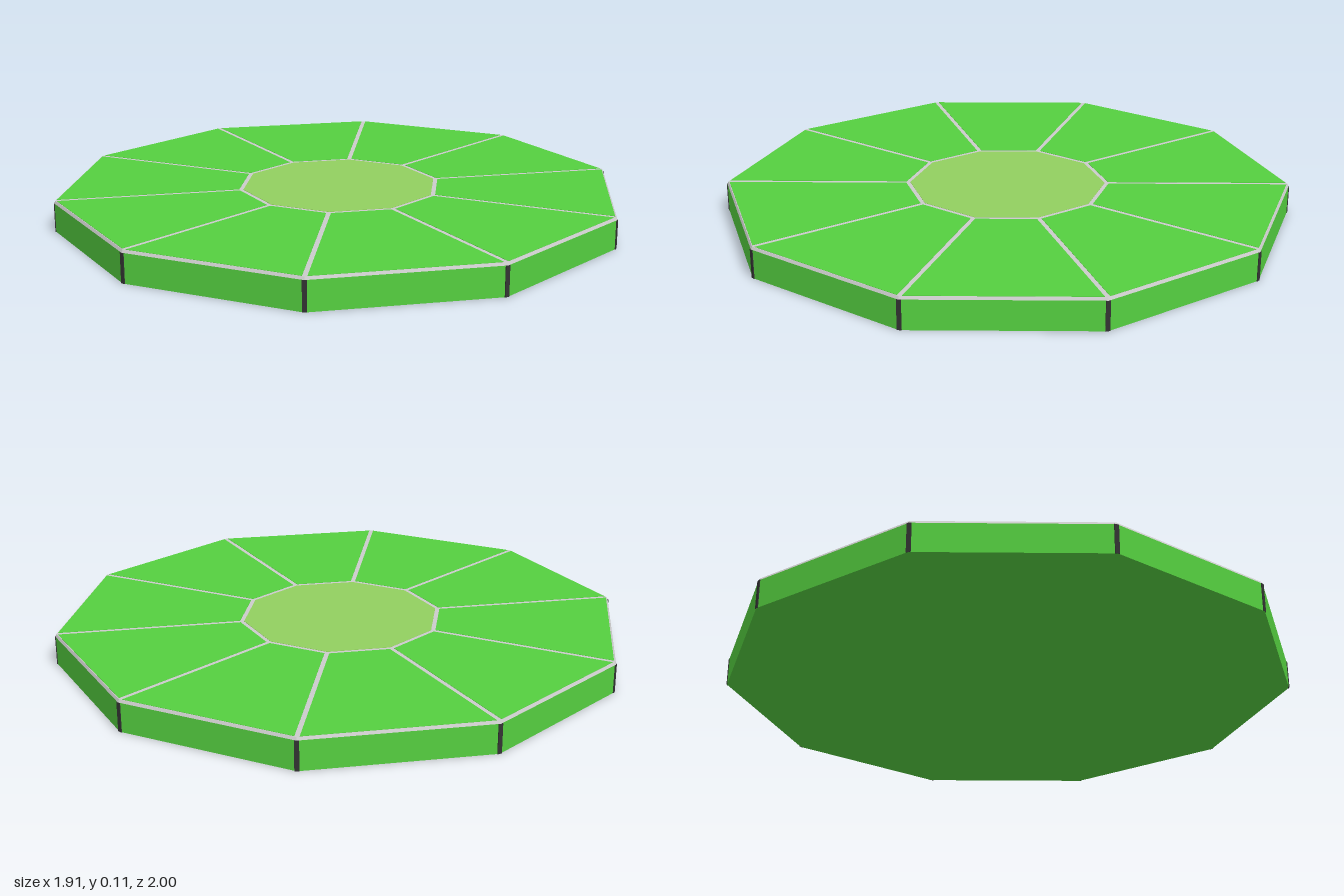
import * as THREE from 'three';

const SIDES = 10;
const STEP = (Math.PI * 2) / SIDES;
const HALF = STEP / 2;
const HEIGHT = 0.11;
const RIM = 0.01; // height of the pale rim band
const RAISE = 0.001; // panels stand just proud of the pale top
const SEAM = 0.008; // half width of the seams between panels

const material = (color) => new THREE.MeshStandardMaterial({ color, flatShading: true });

function addMesh(parent, name, geometry, mat) {
  const mesh = new THREE.Mesh(geometry, mat);
  mesh.name = name;
  parent.add(mesh);
  return mesh;
}

export function createModel() {
  const model = new THREE.Group();
  model.name = 'decagonPlatform';
  const green = material(0x55d040);
  const paleGreen = material(0x92d060);
  const grey = material(0xcccccc);
  const dark = material(0x333333);

  // Ten-sided slab with a corner on the front axis
  const bodyHeight = HEIGHT - RIM;
  const body = addMesh(model, 'body', new THREE.CylinderGeometry(1, 1, bodyHeight, SIDES), green);
  body.position.y = bodyHeight / 2;

  // Pale rim band, whose top shows through as the seams
  const rimHeight = RIM - RAISE;
  const rim = addMesh(model, 'rim', new THREE.CylinderGeometry(0.995, 1, rimHeight, SIDES), grey);
  rim.position.y = bodyHeight + rimHeight / 2;

  // Centre panel
  const centre = addMesh(model, 'centrePanel', new THREE.CylinderGeometry(0.346, 0.346, RAISE, SIDES), paleGreen);
  centre.position.y = HEIGHT - RAISE / 2;

  // Wedge panel shape, drawn along its middle line
  const inner = 0.344;
  const outer = 0.944;
  const halfWidth = (d) => d * Math.tan(HALF) - SEAM / Math.cos(HALF);
  const wedge = new THREE.Shape([
    new THREE.Vector2(-halfWidth(inner), inner),
    new THREE.Vector2(halfWidth(inner), inner),
    new THREE.Vector2(halfWidth(outer), outer),
    new THREE.Vector2(-halfWidth(outer), outer),
  ]);
  const wedgeGeometry = new THREE.ExtrudeGeometry(wedge, { depth: RAISE, bevelEnabled: false });
  wedgeGeometry.rotateX(-Math.PI / 2);

  // Thin dark strip at each upright corner
  const stripGeometry = new THREE.BoxGeometry(0.015, bodyHeight, 0.004);
  stripGeometry.translate(0, bodyHeight / 2, 0.9985);

  for (let i = 0; i < SIDES; i++) {
    const panel = addMesh(model, 'wedgePanel', wedgeGeometry, green);
    panel.position.y = HEIGHT - RAISE;
    panel.rotation.y = HALF + i * STEP;
    addMesh(model, 'cornerStrip', stripGeometry, dark).rotation.y = i * STEP;
  }
  return model;
}
